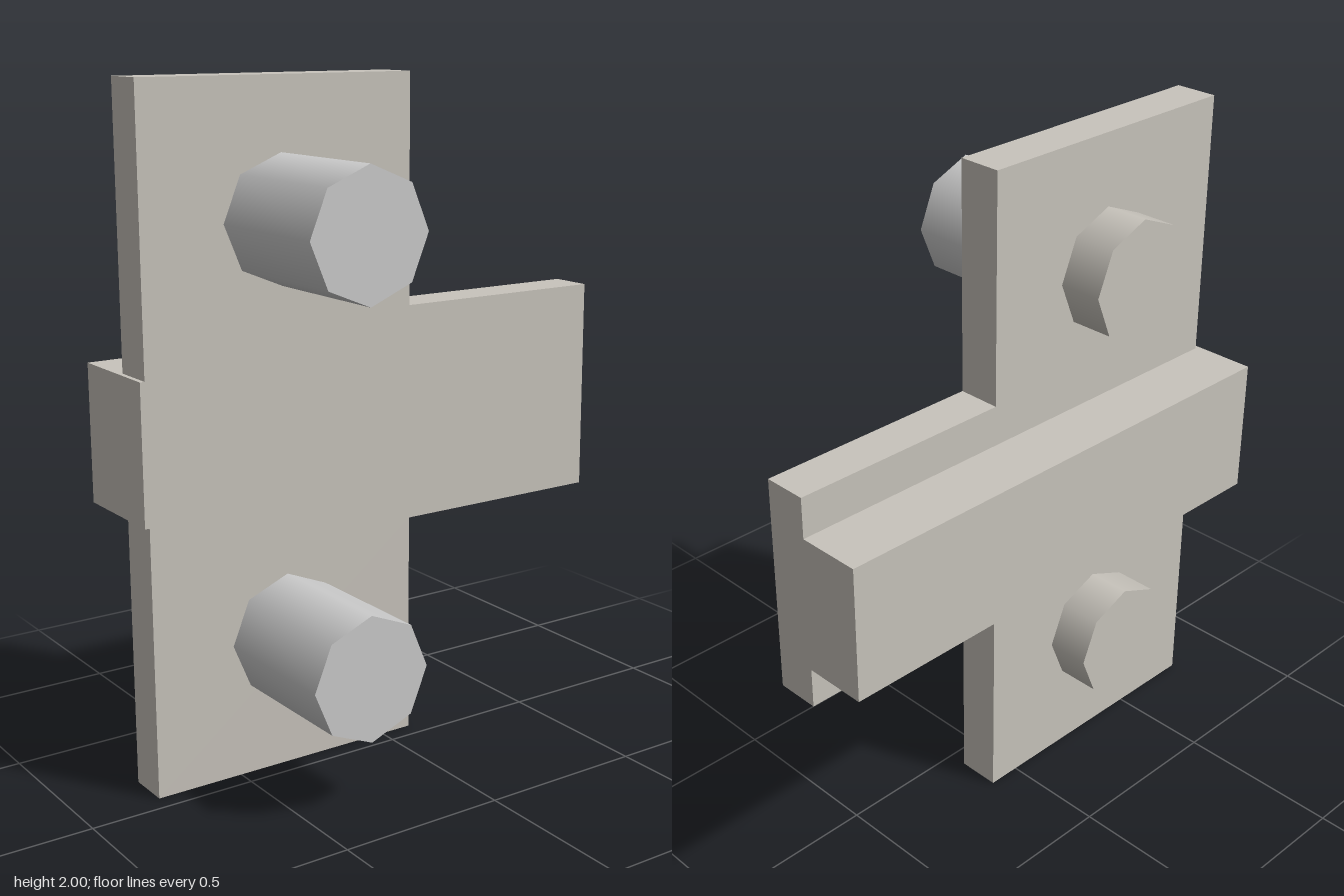
import * as THREE from 'three';

const bodyMaterial = new THREE.MeshStandardMaterial({ color: 0xc8c4bc });
const pegMaterial = new THREE.MeshStandardMaterial({ color: 0xd4d6d2 });

function extrude(points, depth) {
  const shape = new THREE.Shape(points.map(([x, y]) => new THREE.Vector2(x, y)));
  return new THREE.ExtrudeGeometry(shape, { depth, bevelEnabled: false });
}

export function createModel() {
  const group = new THREE.Group();
  const add = (name, geometry, material) => {
    const mesh = new THREE.Mesh(geometry, material);
    mesh.name = name;
    group.add(mesh);
  };

  // T-shaped plate, outlined in (z, y) and extruded towards -x
  const plate = extrude([
    [-0.1, 0], [0.768, 0], [0.768, 2], [-0.1, 2],
    [-0.1, 1.327], [-0.782, 1.327], [-0.782, 0.677], [-0.1, 0.677],
  ], 0.13);
  plate.rotateY(-Math.PI / 2).translate(-0.056, 0, 0);
  add('plate', plate, bodyMaterial);

  // Rail behind the plate with a thin lip wrapping its front edge, outlined in (x, -z)
  const rail = extrude([
    [-0.376, -0.782], [-0.056, -0.782], [-0.056, -0.768],
    [-0.186, -0.768], [-0.186, 0.782], [-0.376, 0.782],
  ], 0.408);
  rail.rotateX(-Math.PI / 2).translate(0, 0.798, 0);
  add('rail', rail, bodyMaterial);

  // Eight-sided cylinder lying along x
  const peg = (name, x0, x1, y, radius, material) => {
    const geometry = new THREE.CylinderGeometry(radius, radius, x1 - x0, 8);
    geometry.rotateZ(Math.PI / 2).translate((x0 + x1) / 2, y, 0.332);
    add(name, geometry, material);
  };

  // Long pegs on one face, short studs on the other
  for (const [level, y] of [['lower', 0.4], ['upper', 1.607]]) {
    peg(level + 'Peg', -0.056, 0.374, y, 0.184, pegMaterial);
    peg(level + 'Stud', -0.318, -0.186, y, 0.179, bodyMaterial);
  }

  return group;
}
